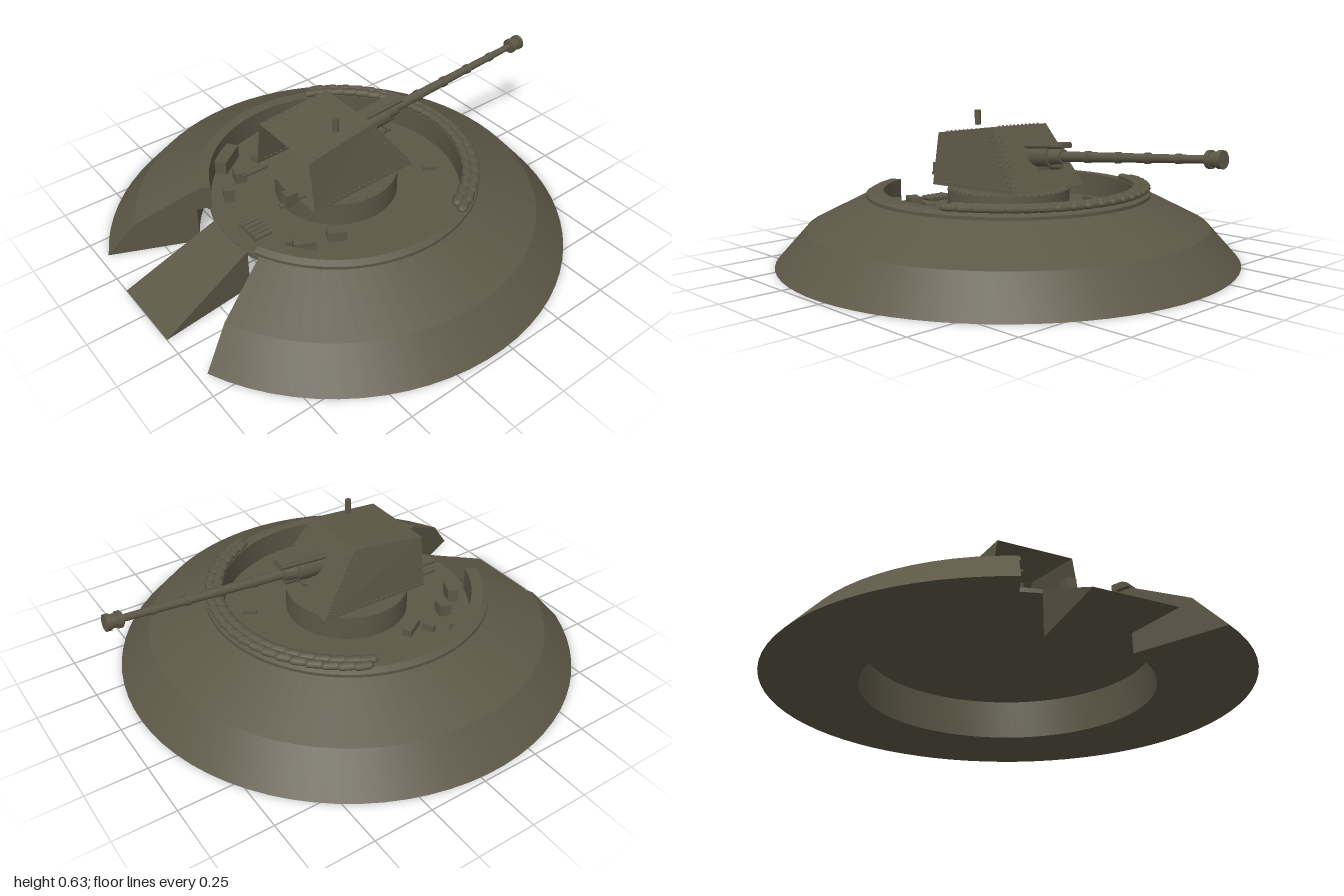
import * as THREE from 'three';
import { toCreasedNormals } from 'three/addons/utils/BufferGeometryUtils.js';

const olive = new THREE.MeshStandardMaterial({ color: 0x5c5746, side: THREE.DoubleSide });
olive.name = 'olive earth';

const CX = -0.068;      // centre of the emplacement
const FLOOR = 0.19;     // pit floor height
const DEG = Math.PI / 180;

function add(parent, name, geo, x = 0, y = 0, z = 0, ry = 0) {
  const m = new THREE.Mesh(geo, olive);
  m.name = name;
  m.position.set(x, y, z);
  m.rotation.y = ry;
  parent.add(m);
  return m;
}
const box = (w, h, d) => new THREE.BoxGeometry(w, h, d);

// Cylinder lying along x, from x0 to x1
function rod(x0, x1, r0, r1 = r0, sides = 16) {
  return new THREE.CylinderGeometry(r1, r0, x1 - x0, sides).rotateZ(-Math.PI / 2).translate((x0 + x1) / 2, 0, 0);
}

// Flat sheets, each a list of four corners
function panels(quads) {
  const pos = [];
  for (const [a, b, c, d] of quads) pos.push(...a, ...b, ...c, ...a, ...c, ...d);
  const g = new THREE.BufferGeometry();
  g.setAttribute('position', new THREE.Float32BufferAttribute(pos, 3));
  g.computeVertexNormals();
  return g;
}

// Closed profile swept around the pit, leaving the entrance open at -x
function ringWithGap(parent, name, profile, gap) {
  const pts = profile.map(([r, y]) => new THREE.Vector2(r, y));
  const start = (-90 + gap) * DEG, sweep = (360 - 2 * gap) * DEG;
  const g = new THREE.Group();
  g.name = name;
  add(g, name + 'Body', toCreasedNormals(new THREE.LatheGeometry([...pts, pts[0]], 64, start, sweep), 0.25));
  for (const t of [start, start + sweep]) {
    add(g, name + 'End', new THREE.ShapeGeometry(new THREE.Shape(pts)), 0, 0, 0, t - Math.PI / 2);
  }
  parent.add(g);
}

function buildEarthwork(root) {
  const pit = new THREE.Group();
  pit.name = 'emplacement';
  pit.position.x = CX;
  root.add(pit);
  ringWithGap(pit, 'berm', [[0.595, 0], [0.98, 0], [0.85, 0.145], [0.6, 0.27], [0.54, 0.27], [0.54, 0.172], [0.595, 0.172]], 24);
  ringWithGap(pit, 'rim', [[0.53, 0.18], [0.55, 0.18], [0.55, 0.268], [0.602, 0.268], [0.602, 0.282], [0.578, 0.295], [0.53, 0.295]], 22);
  add(pit, 'pitFloor', new THREE.CylinderGeometry(0.541, 0.541, 0.018, 64), 0, FLOOR - 0.009, 0);

  // Overlapping sandbags on the forward half of the rim
  const bag = new THREE.CapsuleGeometry(0.019, 0.042, 3, 8).rotateX(Math.PI / 2).scale(1.15, 0.75, 1);
  for (let i = 0; i < 22; i++) {
    const a = (-64 + i * 128 / 21) * DEG;
    for (const [r, off] of [[0.547, 0], [0.578, 0.04]]) {
      const t = a + off;
      add(pit, 'sandbag', bag, r * Math.cos(t), r < 0.56 ? 0.309 : 0.306, r * Math.sin(t), -t + 0.15);
    }
  }

  // Entrance ramp: a wedge that narrows toward the pit
  const p = (x, y, z) => [x, y, z];
  const xo = -1, xi = -0.595, wo = 0.165, wi = 0.12;
  add(root, 'ramp', panels([
    [p(xo, 0, -wo), p(xo, 0, wo), p(xi, FLOOR, wi), p(xi, FLOOR, -wi)],
    [p(xi, 0, wi), p(xi, 0, -wi), p(xi, FLOOR, -wi), p(xi, FLOOR, wi)],
    [p(xo, 0, wo), p(xi, 0, wi), p(xi, FLOOR, wi), p(xo, 0, wo)],
    [p(xo, 0, -wo), p(xi, FLOOR, -wi), p(xi, 0, -wi), p(xo, 0, -wo)],
    [p(xo, 0, wo), p(xo, 0, -wo), p(xi, 0, -wi), p(xi, 0, wi)],
  ]));
}

function buildStores(root) {
  // x, z, length, height, depth, turn
  const crates = [
    [-0.36, -0.41, 0.14, 0.06, 0.06, 35], [-0.36, 0.39, 0.14, 0.06, 0.06, -35],
    [-0.47, -0.215, 0.045, 0.06, 0.08, -25], [-0.37, -0.285, 0.05, 0.05, 0.06, -15],
    [-0.18, -0.31, 0.1, 0.03, 0.04, 30], [-0.24, -0.35, 0.02, 0.03, 0.055, 25],
    [-0.41, 0.245, 0.09, 0.05, 0.05, -25], [-0.27, 0.27, 0.08, 0.045, 0.045, -30],
    [0.005, -0.43, 0.055, 0.02, 0.016, -15], [-0.43, 0.19, 0.05, 0.02, 0.018, -10],
    [0.32, -0.185, 0.06, 0.015, 0.015, 60], [0.335, -0.165, 0.045, 0.015, 0.015, 15],
    [0.32, 0.165, 0.06, 0.015, 0.015, -35],
  ];
  for (const [x, z, l, h, d, t] of crates) add(root, 'crate', box(l, h, d), x, FLOOR + h / 2, z, t * DEG);
  // Row of shells by the entrance
  for (let i = 0; i < 5; i++) add(root, 'shell', rod(-0.04, 0.04, 0.011, 0.011, 10), -0.5, FLOOR + 0.011, -0.015 + i * 0.025);
}

function buildTurret(root) {
  const t = new THREE.Group();
  t.name = 'turret';
  root.add(t);
  add(t, 'turntable', toCreasedNormals(new THREE.CylinderGeometry(0.26, 0.26, 0.105, 48), 0.5), CX, FLOOR + 0.0525, 0);
  const rivet = new THREE.SphereGeometry(0.005, 6, 4);
  for (let i = 0; i < 48; i++) {
    const a = i * Math.PI / 24;
    add(t, 'turntableBolt', rivet, CX + 0.25 * Math.cos(a), 0.297, 0.25 * Math.sin(a));
  }

  // Shield corners for one side (s = 1 or -1)
  const rearLow = s => [-0.325, 0.3, 0.205 * s], frontLow = s => [0.178, 0.312, 0.205 * s];
  const rearTop = s => [-0.325, 0.522, 0.17 * s], frontTop = s => [0.002, 0.562, 0.155 * s];
  add(t, 'shield', panels([
    [rearLow(1), frontLow(1), frontTop(1), rearTop(1)],
    [frontLow(-1), rearLow(-1), rearTop(-1), frontTop(-1)],
    [rearTop(1), frontTop(1), frontTop(-1), rearTop(-1)],
    [frontLow(1), frontLow(-1), frontTop(-1), frontTop(1)],
    [rearLow(1), rearLow(-1), frontLow(-1), frontLow(1)],
  ]));

  // Rivets along the plate edges
  const rivetRow = (a, b, n) => {
    const p = new THREE.Vector3(...a), q = new THREE.Vector3(...b);
    for (let i = 1; i < n; i++) {
      const v = p.clone().lerp(q, i / n);
      add(t, 'rivet', rivet, v.x, v.y, v.z);
    }
  };
  for (const s of [1, -1]) {
    rivetRow([-0.31, 0.315, 0.202 * s], [0.155, 0.325, 0.202 * s], 18);
    rivetRow([-0.02, 0.545, 0.158 * s], [0.152, 0.325, 0.202 * s], 12);
    rivetRow([-0.31, 0.525, 0.155 * s], [-0.01, 0.561, 0.142 * s], 12);
    rivetRow([0.012, 0.549, 0.142 * s], [0.172, 0.32, 0.19 * s], 12);
  }

  // Periscope, seat and rear rail
  add(t, 'periscope', new THREE.CylinderGeometry(0.013, 0.013, 0.062, 12), -0.145, 0.595, 0.105);
  add(t, 'seat', box(0.052, 0.055, 0.042), -0.382, 0.353, 0.115);
  add(t, 'seatRail', box(0.12, 0.01, 0.02), -0.37, 0.33, 0.115);
  add(t, 'rearRail', box(0.12, 0.012, 0.012), -0.385, 0.338, -0.125);
}

function buildGun(root) {
  const gun = new THREE.Group();
  gun.name = 'gun';
  gun.position.set(0.1, 0.443, 0);
  gun.rotation.z = 0.08;
  root.add(gun);
  add(gun, 'breech', box(0.16, 0.08, 0.08), -0.16, 0, 0);
  add(gun, 'barrel', rod(-0.1, 0.87, 0.024, 0.014));
  add(gun, 'cradle', rod(-0.06, 0.09, 0.044));
  add(gun, 'sleeve', rod(0.09, 0.15, 0.036, 0.03));
  add(gun, 'recuperator', box(0.22, 0.022, 0.05), 0.06, 0.046, 0);
  for (const z of [-0.02, 0.02]) add(gun, 'recoilTube', rod(-0.05, 0.17, 0.012, 0.012, 10), 0, 0.044, z);
  add(gun, 'lowerBuffer', rod(-0.02, 0.135, 0.015, 0.015, 12), 0, -0.038, 0);
  add(gun, 'crossBar', box(0.015, 0.012, 0.12), 0.07, -0.045, 0);
  for (const [x, r] of [[0.27, 0.024], [0.42, 0.022], [0.56, 0.021], [0.7, 0.019]]) {
    add(gun, 'barrelCollar', rod(x, x + 0.02, r));
  }
  // Muzzle brake
  add(gun, 'muzzleBrake', rod(0.83, 0.895, 0.027));
  add(gun, 'muzzleRing', rod(0.835, 0.852, 0.033));
  add(gun, 'muzzleRing', rod(0.878, 0.897, 0.033));
}

export function createModel() {
  const root = new THREE.Group();
  root.name = 'gunEmplacement';
  buildEarthwork(root);
  buildStores(root);
  buildTurret(root);
  buildGun(root);
  return root;
}
